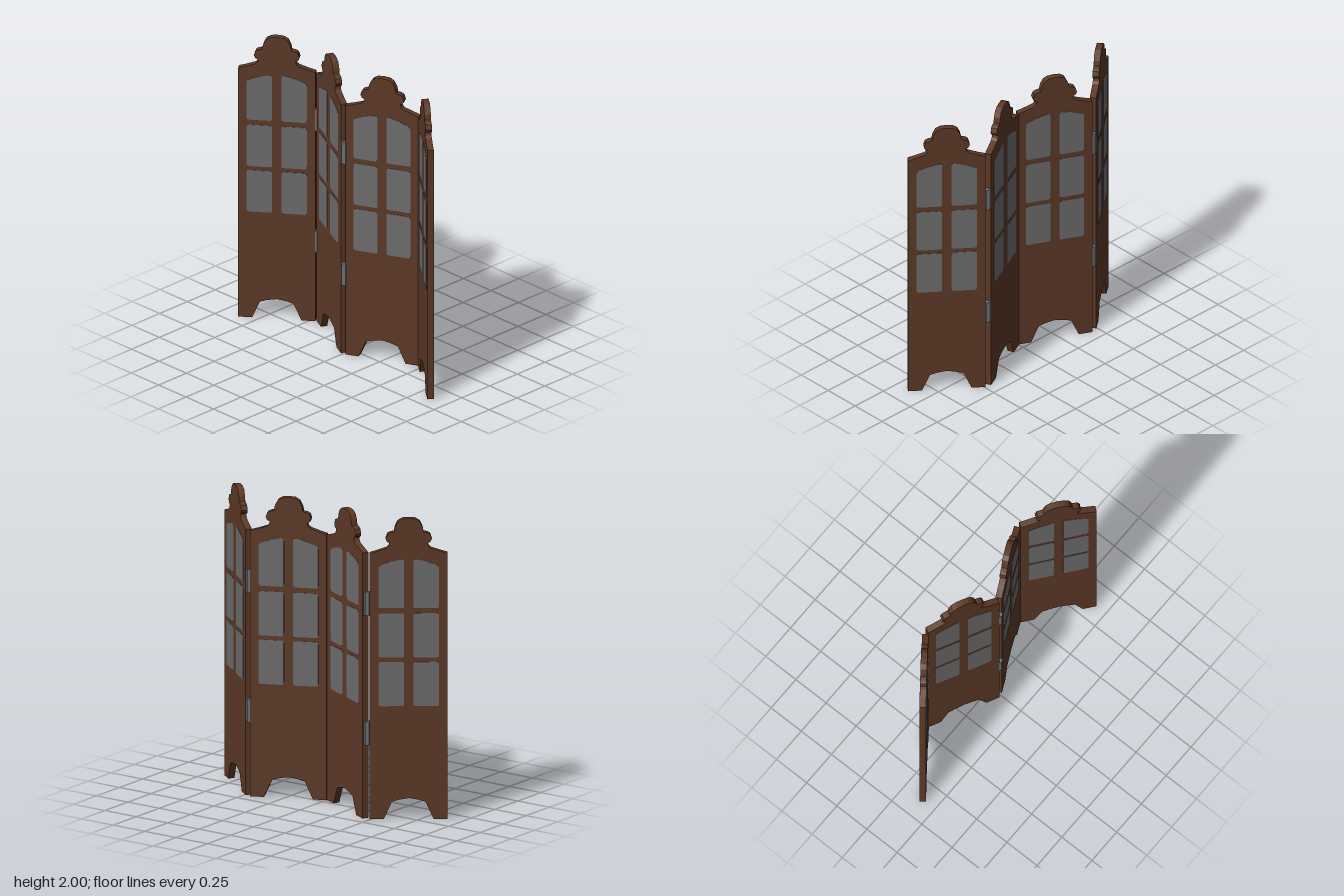
import * as THREE from 'three';

const THICK = 0.042;

// mirrored half-outline of a panel: crest and shoulder, then leg cut-out
const CREST = [[0.25, 1.767], [0.2, 1.782], [0.142, 1.802], [0.128, 1.815], [0.121, 1.835], [0.14, 1.845],
  [0.148, 1.865], [0.137, 1.895], [0.122, 1.904], [0.095, 1.91], [0.088, 1.945], [0.07, 1.98], [0.04, 1.997], [0, 2]];
const ARCH = [[0, 0.14], [0.06, 0.13], [0.108, 0.115], [0.16, 0]];

function panelShape() {
  const half = [...ARCH, [0.25, 0], ...CREST];
  const mirrored = half.slice(1, -1).reverse().map(([x, y]) => [-x, y]);
  return new THREE.Shape([...half, ...mirrored].map(([x, y]) => new THREE.Vector2(x, y)));
}

// rounded pane between x0 and x1; yIn and yOut are top heights at the inner and outer side
function paneShape(side, y0, yIn, yOut) {
  const a = 0.03 * side, b = 0.195 * side, r = 0.018, s = r * side;
  const shape = new THREE.Shape();
  shape.moveTo(a + s, y0);
  shape.lineTo(b - s, y0);
  shape.quadraticCurveTo(b, y0, b, y0 + r);
  shape.lineTo(b, yOut - r);
  shape.quadraticCurveTo(b, yOut, b - s, yOut + (yIn - yOut) * 0.15);
  shape.quadraticCurveTo((a + b) / 2, (yIn + yOut) / 2 + (yIn - yOut) * 0.25, a + s, yIn);
  shape.quadraticCurveTo(a, yIn, a, yIn - r);
  shape.lineTo(a, y0 + r);
  shape.quadraticCurveTo(a, y0, a + s, y0);
  return shape;
}

export function createModel() {
  const wood = new THREE.MeshStandardMaterial({ color: 0x5c3926 });
  wood.name = 'dark wood';
  const glass = new THREE.MeshStandardMaterial({ color: 0x6c6c6c });
  glass.name = 'grey glass';
  const metal = new THREE.MeshStandardMaterial({ color: 0x6c7072 });
  metal.name = 'hinge metal';
  const root = new THREE.Group();
  root.name = 'foldingScreen';

  const panelGeo = new THREE.ExtrudeGeometry(panelShape(), { depth: THICK, bevelEnabled: false });
  panelGeo.translate(0, 0, -THICK / 2);

  // three rows of two panes, the top row with sloping heads
  const paneGeos = [];
  for (const [y0, yIn, yOut] of [[0.752, 1.047, 1.047], [1.075, 1.37, 1.37], [1.405, 1.73, 1.685]]) {
    for (const side of [-1, 1]) {
      paneGeos.push(new THREE.ExtrudeGeometry(paneShape(side, y0, yIn, yOut),
        { depth: 0.004, bevelEnabled: false, curveSegments: 5 }));
    }
  }

  // four panels in a zigzag: centre x, centre z, turn in degrees
  [[-0.679, 0.005, 37.2], [-0.231, -0.045, -26.5], [0.234, -0.048, 25.5], [0.676, 0.003, -37.8]]
    .forEach(([x, z, turn], i) => {
      const panel = new THREE.Group();
      panel.name = 'panel' + (i + 1);
      const board = new THREE.Mesh(panelGeo, wood);
      board.name = 'board';
      panel.add(board);
      for (const geo of paneGeos) {
        for (const face of [1, -1]) {
          const pane = new THREE.Mesh(geo, glass);
          pane.name = face > 0 ? 'frontPane' : 'backPane';
          pane.position.z = face * (THICK / 2) - 0.002;
          panel.add(pane);
        }
      }
      panel.position.set(x, 0, z);
      panel.rotation.y = THREE.MathUtils.degToRad(turn);
      root.add(panel);
    });

  // hinge barrels at the three folds, two per fold
  const hingeGeo = new THREE.CylinderGeometry(0.024, 0.024, 0.153, 6).toNonIndexed();
  hingeGeo.computeVertexNormals();
  for (const [x, z] of [[-0.468, -0.152], [0, 0.071], [0.466, -0.157]]) {
    for (const y of [0.567, 1.43]) {
      const hinge = new THREE.Mesh(hingeGeo, metal);
      hinge.name = 'hinge';
      hinge.position.set(x, y, z);
      root.add(hinge);
    }
  }
  return root;
}
